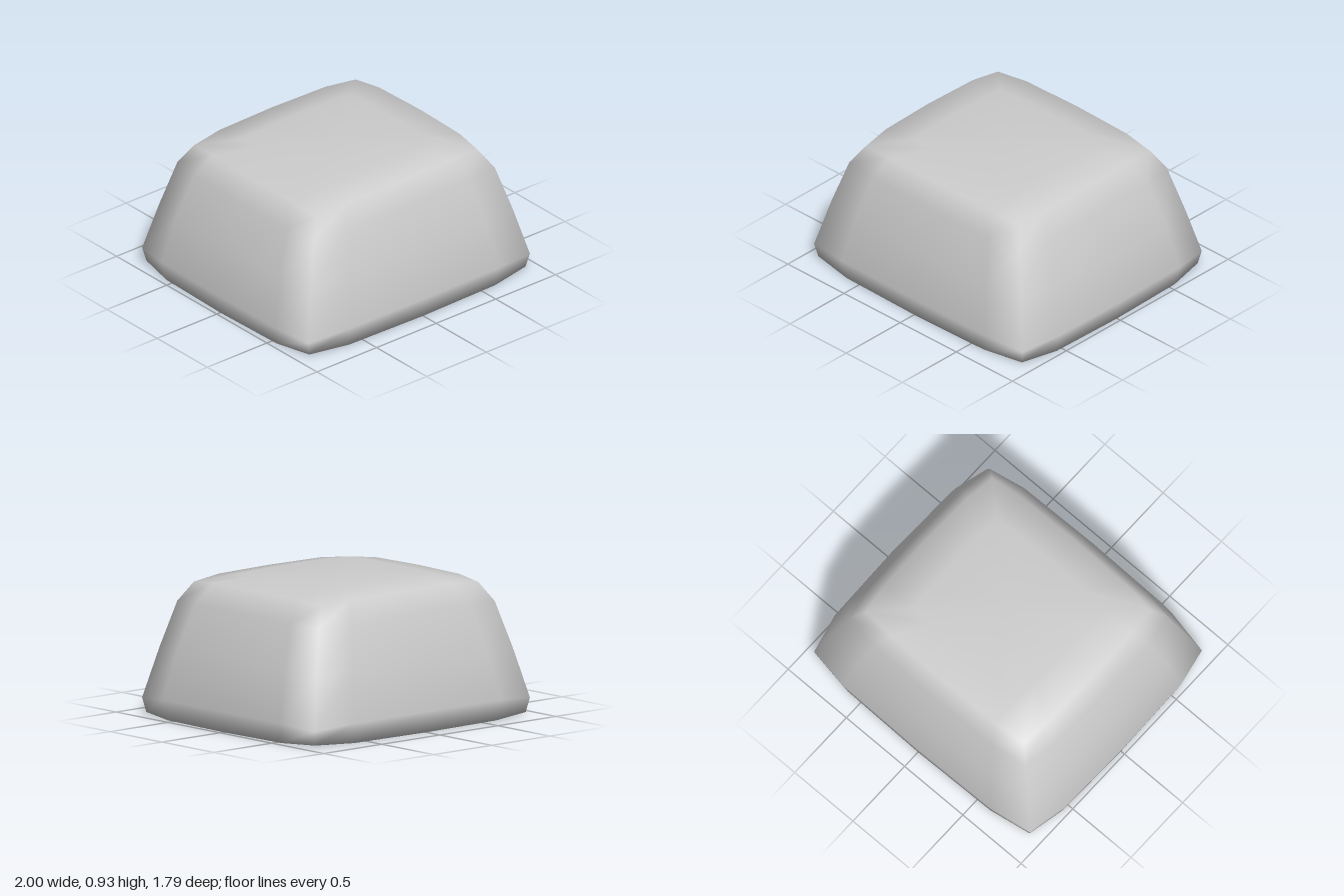
import * as THREE from 'three';

// Cross-sections from bottom to top:
// [height, half width, half depth, corner fraction, corner lift]
const SECTIONS = [
  [0.0, 0.97, 0.87, 0.935, 0.015],
  [0.14, 1.0, 0.895, 0.928, -0.03],
  [0.45, 0.92, 0.82, 0.92, -0.01],
  [0.75, 0.81, 0.73, 0.935, -0.01],
  [0.89, 0.71, 0.64, 0.955, -0.025],
  [0.925, 0.47, 0.42, 0.97, -0.005],
];

// One softly bowed rectangular ring, sixteen points around
function ring([y, hx, hz, corner, lift]) {
  const quarter = [[1, 0, 0], [0.988, 0.63, 0.15], [corner, corner, 1], [0.63, 0.988, 0.15]];
  const points = [];
  for (let q = 0; q < 4; q++) {
    for (const [a, b, k] of quarter) {
      // turn each point by q quarter turns
      const [u, v] = [[a, b], [-b, a], [-a, -b], [b, -a]][q];
      points.push(u * hx, y + lift * k, v * hz);
    }
  }
  return points;
}

function bodyGeometry() {
  const n = 16;
  const positions = SECTIONS.flatMap(ring);
  const index = [];
  const last = (SECTIONS.length - 1) * n;
  const bottom = SECTIONS.length * n;
  const top = bottom + 1;
  positions.push(0, 0, 0, 0, 0.93, 0);

  for (let i = 0; i < n; i++) {
    const j = (i + 1) % n;
    // walls
    for (let s = 0; s < last; s += n) {
      index.push(s + i, s + n + i, s + j, s + j, s + n + i, s + n + j);
    }
    // underside and crown
    index.push(bottom, i, j, top, last + j, last + i);
  }

  const geometry = new THREE.BufferGeometry();
  geometry.setAttribute('position', new THREE.Float32BufferAttribute(positions, 3));
  geometry.setIndex(index);
  geometry.computeVertexNormals();
  return geometry;
}

export function createModel() {
  const model = new THREE.Group();
  model.name = 'roundedBlock';
  const body = new THREE.Mesh(
    bodyGeometry(),
    new THREE.MeshStandardMaterial({ color: 0xcccccc })
  );
  body.name = 'taperedBody';
  model.add(body);
  return model;
}
